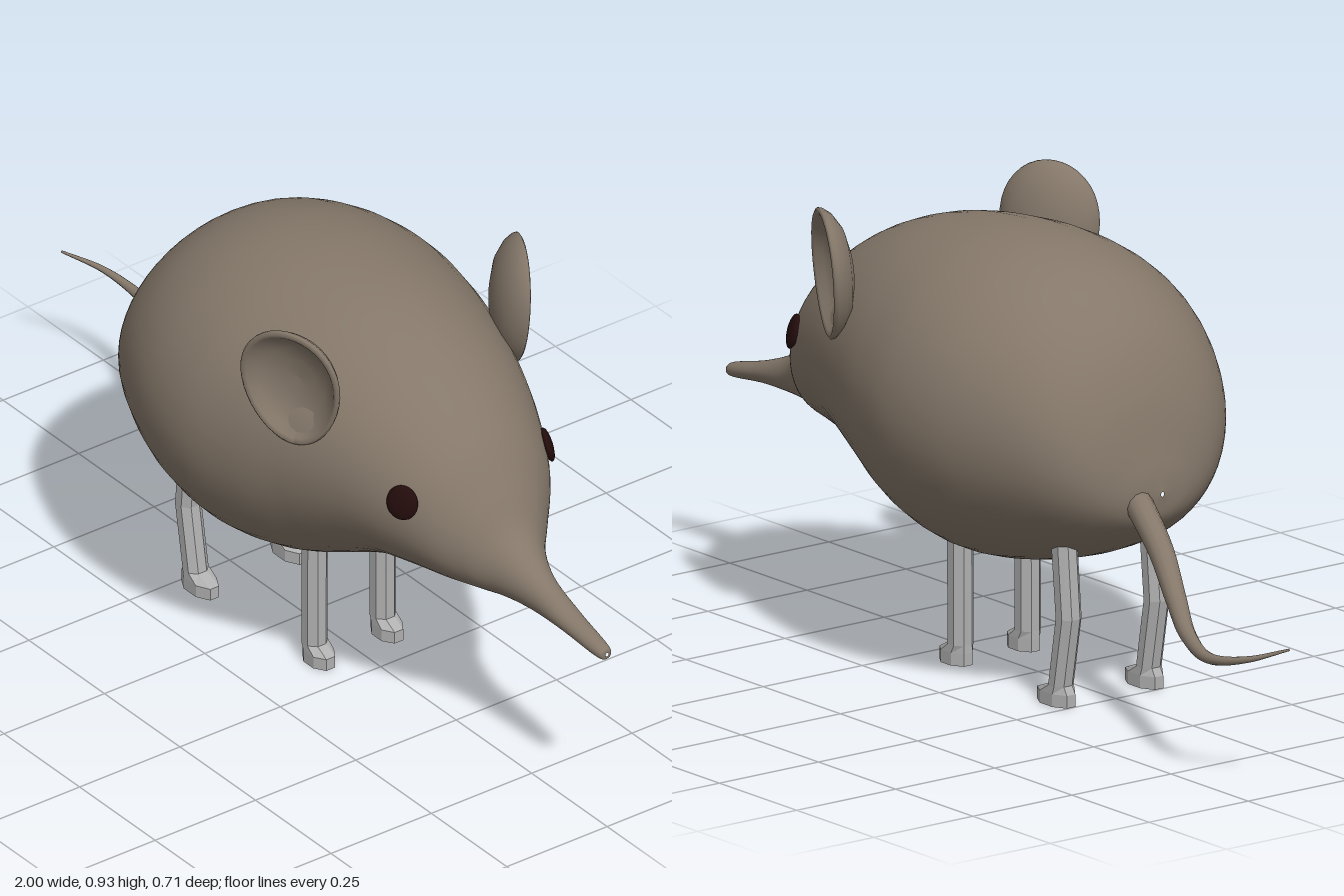
import * as THREE from 'three';
import { ParametricGeometry } from 'three/addons/geometries/ParametricGeometry.js';

const fur = new THREE.MeshStandardMaterial({ color: 0x85786a });
fur.name = 'brown fur';
const legGrey = new THREE.MeshStandardMaterial({ color: 0xb0b0b0 });
legGrey.name = 'leg grey';
const eyeDark = new THREE.MeshStandardMaterial({ color: 0x240c0c });
eyeDark.name = 'dark eye';

function add(parent, name, geometry, material) {
  const mesh = new THREE.Mesh(geometry, material);
  mesh.name = name;
  parent.add(mesh);
  return mesh;
}

// Body, head and snout: smooth oval sections [x, top, bottom, half width]
function bodyGeometry() {
  const sections = [
    [-0.402, 0.462, 0.452, 0.004], [-0.392, 0.53, 0.405, 0.08], [-0.36, 0.66, 0.37, 0.17],
    [-0.3, 0.77, 0.33, 0.24], [-0.2, 0.855, 0.288, 0.3], [-0.08, 0.898, 0.255, 0.343],
    [0.05, 0.912, 0.24, 0.354], [0.18, 0.905, 0.262, 0.33], [0.3, 0.883, 0.315, 0.29],
    [0.42, 0.838, 0.368, 0.245], [0.52, 0.778, 0.385, 0.203], [0.6, 0.71, 0.39, 0.16],
    [0.66, 0.625, 0.393, 0.108], [0.71, 0.545, 0.397, 0.065], [0.78, 0.487, 0.4, 0.038],
    [0.88, 0.447, 0.4, 0.027], [0.985, 0.42, 0.39, 0.017], [1.0, 0.408, 0.4, 0.004],
  ];
  const spline = (f) => new THREE.CatmullRomCurve3(sections.map(f), false, 'catmullrom', 0.5);
  const heights = spline(([x, top, bottom]) => new THREE.Vector3(x, top, bottom));
  const widths = spline(([x, , , w]) => new THREE.Vector3(x, w, 0));
  const p = new THREE.Vector3(), q = new THREE.Vector3();
  return new ParametricGeometry((u, v, target) => {
    heights.getPoint(v, p);
    widths.getPoint(v, q);
    const a = u * Math.PI * 2;
    target.set(p.x, (p.y + p.z) / 2 + Math.cos(a) * (p.y - p.z) / 2, Math.sin(a) * q.y);
  }, 48, 85);
}

// Tail: tube narrowed towards its tip
function tailGeometry() {
  const path = new THREE.CatmullRomCurve3([
    [-0.34, 0.46, -0.035], [-0.4, 0.435, -0.052], [-0.5, 0.375, -0.08], [-0.607, 0.305, -0.125],
    [-0.71, 0.264, -0.175], [-0.83, 0.25, -0.213], [-0.93, 0.268, -0.197], [-1, 0.295, -0.145],
  ].map((c) => new THREE.Vector3(...c)));
  const steps = 48, sides = 12;
  const geometry = new THREE.TubeGeometry(path, steps, 0.03, sides);
  const pos = geometry.attributes.position, v = new THREE.Vector3();
  for (let i = 0; i < pos.count; i++) {
    const t = Math.floor(i / (sides + 1)) / steps;
    const c = path.getPointAt(t);
    v.fromBufferAttribute(pos, i).sub(c).multiplyScalar(1 - 0.92 * Math.pow(t, 1.3)).add(c);
    pos.setXYZ(i, v.x, v.y, v.z);
  }
  geometry.computeVertexNormals();
  return geometry;
}

// Leg and foot: faceted column through rings [x, y, radius x, radius z], top to bottom
function legGeometry(rings) {
  const geometry = new THREE.CylinderGeometry(1, 1, 1, 8, rings.length - 1);
  geometry.rotateY(Math.PI / 8);
  const pos = geometry.attributes.position;
  for (let i = 0; i < pos.count; i++) {
    const [x, y, rx, rz] = rings[Math.round((0.5 - pos.getY(i)) * (rings.length - 1))];
    pos.setXYZ(i, x + pos.getX(i) * rx, y, pos.getZ(i) * rz);
  }
  const flat = geometry.toNonIndexed();
  flat.computeVertexNormals();
  return flat;
}

// Ear: cupped shell opening along +z, narrower at the bottom
function earGeometry() {
  const profile = [
    [0, -0.042], [0.04, -0.039], [0.075, -0.028], [0.098, -0.01], [0.108, 0.006], [0.109, 0.013],
    [0.104, 0.017], [0.097, 0.013], [0.085, -0.002], [0.065, -0.016], [0.035, -0.025], [0, -0.028],
  ].map((c) => new THREE.Vector2(...c));
  const geometry = new THREE.LatheGeometry(profile, 40);
  geometry.rotateX(Math.PI / 2);
  const pos = geometry.attributes.position;
  for (let i = 0; i < pos.count; i++) {
    const y = pos.getY(i) * 1.24;
    pos.setXY(i, pos.getX(i) * (1 + y * 0.9), y);
  }
  geometry.computeVertexNormals();
  return geometry;
}

export function createModel() {
  const model = new THREE.Group();
  model.name = 'longNosedMouse';
  add(model, 'body', bodyGeometry(), fur);
  add(model, 'tail', tailGeometry(), fur);

  const ear = earGeometry();
  const eye = new THREE.SphereGeometry(0.036, 20, 12).scale(0.95, 1, 0.3);
  const foreLeg = legGeometry([
    [0.145, 0.34, 0.027, 0.027], [0.144, 0.15, 0.027, 0.027], [0.144, 0.042, 0.027, 0.027],
    [0.158, 0.026, 0.043, 0.028], [0.158, 0, 0.043, 0.028],
  ]);
  const hindLeg = legGeometry([
    [-0.222, 0.38, 0.028, 0.027], [-0.24, 0.185, 0.026, 0.027], [-0.215, 0.042, 0.025, 0.027],
    [-0.2, 0.026, 0.052, 0.028], [-0.2, 0, 0.052, 0.028],
  ]);

  // Paired parts on both flanks
  for (const [side, s] of [['right', 1], ['left', -1]]) {
    const earMesh = add(model, side + 'Ear', ear, fur);
    earMesh.position.set(0.322, 0.8, s * 0.272);
    earMesh.rotation.set(s * 0.08, s > 0 ? 0.46 : Math.PI - 0.46, 0, 'XYZ');

    const eyeMesh = add(model, side + 'Eye', eye, eyeDark);
    eyeMesh.position.set(0.562, 0.61, s * 0.181);
    eyeMesh.lookAt(0.562 + 0.47, 0.61 + 0.26, s * (0.181 + 0.85));

    add(model, side + 'ForeLeg', foreLeg, legGrey).position.z = s * 0.085;
    add(model, side + 'HindLeg', hindLeg, legGrey).position.z = s * 0.111;
  }
  return model;
}
